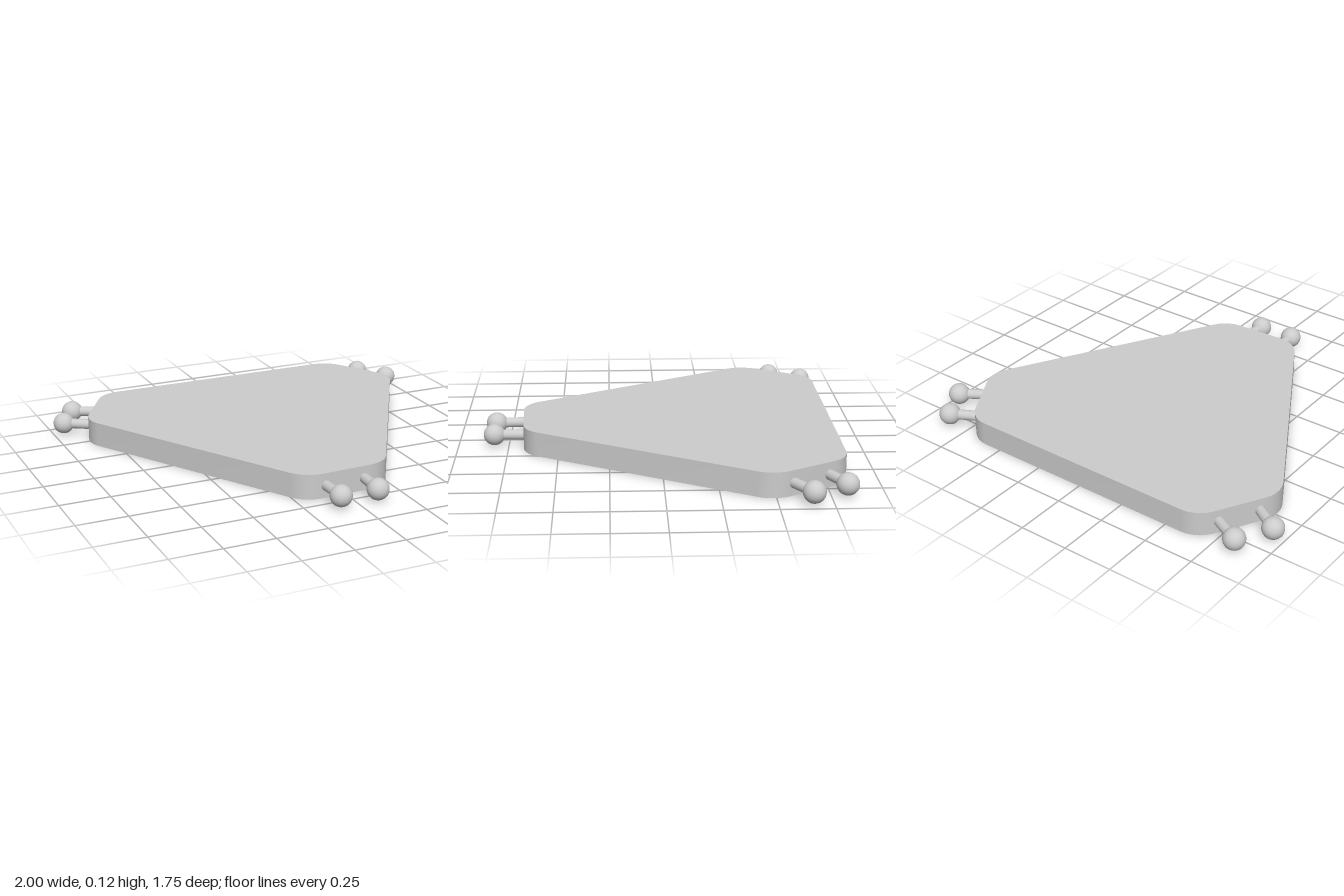
import * as THREE from 'three';
import { toCreasedNormals } from 'three/addons/utils/BufferGeometryUtils.js';

const CENTRE_Z = -0.22, HEIGHT = 0.122, CORNER_R = 0.15;
const DIMPLE_R = 0.06, DIMPLE_DEPTH = 0.025;
const rad = THREE.MathUtils.degToRad;

// Edges of the plate as [direction of outward normal, distance from the centre]
const EDGES = [[-90, 0.635], [-30, 0.9], [30, 0.632], [87.7, 0.898], [150, 0.632], [210, 0.9]];

// Rounded outline as (x, z) points: one arc between each pair of edges
function outline(steps = 10) {
  const points = [];
  EDGES.forEach(([a, d], i) => {
    let [b, e] = EDGES[(i + 1) % EDGES.length];
    if (b < a) b += 360;
    const A = rad(a), B = rad(b), p = d - CORNER_R, q = e - CORNER_R;
    const det = Math.sin(B - A);
    const cx = (p * Math.sin(B) - q * Math.sin(A)) / det;
    const cz = (q * Math.cos(A) - p * Math.cos(B)) / det;
    for (let s = 0; s <= steps; s++) {
      const t = A + (B - A) * s / steps;
      points.push(new THREE.Vector2(cx + CORNER_R * Math.cos(t), cz + CORNER_R * Math.sin(t)));
    }
  });
  return points;
}

// Vertical wall following the outline
function wallGeometry(points) {
  const n = points.length;
  const geo = new THREE.PlaneGeometry(1, 1, n, 1);
  const pos = geo.attributes.position;
  for (let row = 0; row < 2; row++) {
    for (let i = 0; i <= n; i++) {
      const p = points[(n - i) % n];
      pos.setXYZ(row * (n + 1) + i, p.x, row === 0 ? HEIGHT : 0, p.y);
    }
  }
  return toCreasedNormals(geo, rad(30));
}

export function createModel() {
  const model = new THREE.Group();
  model.name = 'triangularPlateWithBallPins';
  const mat = new THREE.MeshStandardMaterial({ color: 0xcccccc });
  const add = (parent, geo, name, material = mat) => {
    const mesh = new THREE.Mesh(geo, material);
    mesh.name = name;
    parent.add(mesh);
    return mesh;
  };

  const body = new THREE.Group();
  body.position.z = CENTRE_Z;
  model.add(body);

  // Plate: top, side wall and underside with a round opening
  const points = outline();
  const topShape = new THREE.Shape(points.map(p => new THREE.Vector2(p.x, -p.y)));
  const top = new THREE.ShapeGeometry(topShape).rotateX(-Math.PI / 2).translate(0, HEIGHT, 0);
  add(body, top, 'plateTop');
  add(body, wallGeometry(points), 'plateWall');

  const bottomShape = new THREE.Shape(points);
  bottomShape.holes.push(new THREE.Path().absarc(0, 0, DIMPLE_R, 0, Math.PI * 2, true));
  add(body, new THREE.ShapeGeometry(bottomShape, 16).rotateX(Math.PI / 2), 'plateUnderside');

  // Shallow dimple in the underside
  const bowl = [];
  for (let i = 0; i <= 8; i++) {
    const t = i / 8 * Math.PI / 2;
    bowl.push(new THREE.Vector2(DIMPLE_R * Math.cos(t), DIMPLE_DEPTH * Math.sin(t)));
  }
  const open = new THREE.MeshStandardMaterial({ color: 0xcccccc, side: THREE.DoubleSide });
  add(body, new THREE.LatheGeometry(bowl, 32), 'dimple', open);

  // A pair of ball-ended pins on each short edge
  const up = new THREE.Vector3(0, 1, 0);
  for (let k = 0; k < 3; k++) {
    const corner = new THREE.Group();
    corner.name = 'pinPair';
    corner.rotation.y = k * Math.PI * 2 / 3;
    body.add(corner);
    for (const side of [-1, 1]) {
      const base = new THREE.Vector3(side * 0.103, HEIGHT / 2, 0.86);
      const tip = new THREE.Vector3(side * 0.095, HEIGHT / 2, 1.04);
      const axis = tip.clone().sub(base);
      const pin = add(corner, new THREE.CylinderGeometry(0.025, 0.025, axis.length(), 24), 'pin');
      pin.position.copy(base).add(tip).multiplyScalar(0.5);
      pin.quaternion.setFromUnitVectors(up, axis.normalize());
      add(corner, new THREE.SphereGeometry(0.053, 32, 20), 'ball').position.copy(tip);
    }
  }
  return model;
}
